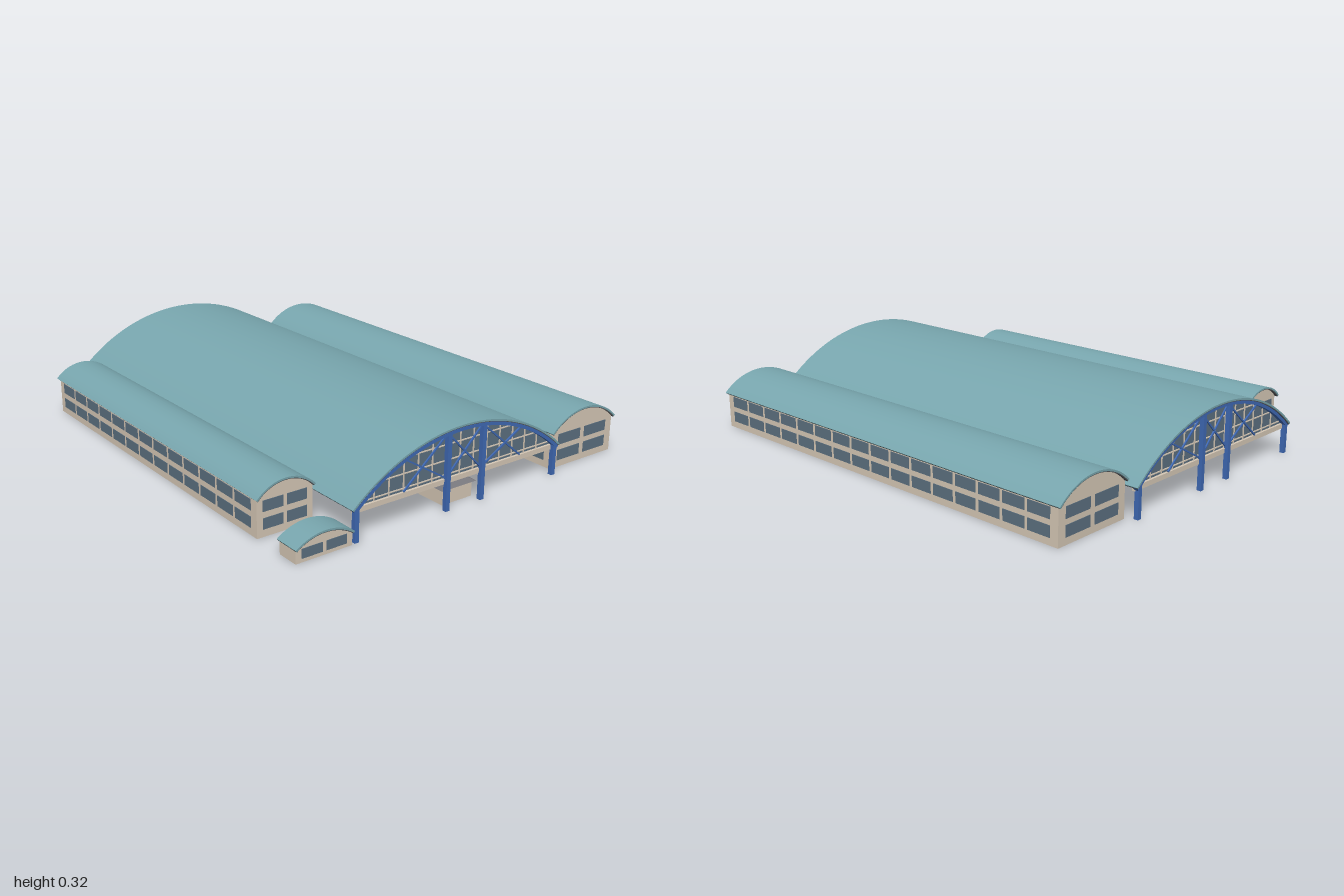
import * as THREE from 'three';
import { toCreasedNormals } from 'three/addons/utils/BufferGeometryUtils.js';

const mat = (color) => new THREE.MeshStandardMaterial({ color, side: THREE.DoubleSide });
const TEAL = mat(0x78a6ae), CREAM = mat(0xd6c8b6), GLASS = mat(0x5c7080),
  BLUE = mat(0x3f69b4), DARK = mat(0x515458), GREY = mat(0x77777c);

function add(parent, name, geometry, material, x = 0, y = 0, z = 0) {
  const mesh = new THREE.Mesh(geometry, material);
  mesh.name = name;
  mesh.position.set(x, y, z);
  parent.add(mesh);
  return mesh;
}

function box(parent, name, material, w, h, d, x, y, z) {
  return add(parent, name, new THREE.BoxGeometry(w, h, d), material, x, y, z);
}

// Circular arc over a chord: centre x, half width, eave height, peak height
function arcOf(cx, half, eave, peak) {
  const rise = peak - eave;
  const r = (half * half + rise * rise) / (2 * rise);
  return { cx, half, r, cy: peak - r, angle: Math.asin(half / r) };
}
const arcTop = (a, x, inset = 0) =>
  a.cy + Math.sqrt(Math.max(0, (a.r - inset) ** 2 - (x - a.cx) ** 2));

// Curved band following the arc, running from z0 to z1
function arcBand(parent, name, material, a, inset, thickness, z0, z1) {
  const shape = new THREE.Shape();
  const s = Math.PI / 2 - a.angle, e = Math.PI / 2 + a.angle;
  shape.absarc(a.cx, a.cy, a.r - inset, s, e, false);
  shape.absarc(a.cx, a.cy, a.r - inset - thickness, e, s, true);
  const g = new THREE.ExtrudeGeometry(shape, { depth: z1 - z0, bevelEnabled: false, curveSegments: 32 });
  return add(parent, name, toCreasedNormals(g, 0.5), material, 0, 0, z0);
}

// Vaulted roof with dark lining
function roof(parent, name, a, z0, z1) {
  arcBand(parent, name, TEAL, a, 0, 0.007, z0, z1);
  arcBand(parent, name + 'Lining', DARK, a, 0.007, 0.003, z0 + 0.002, z1 - 0.002);
}

// Flat panel from y0 up to the arc
function gable(parent, name, material, a, x0, x1, y0, inset, z) {
  const shape = new THREE.Shape();
  shape.moveTo(x0, y0);
  shape.lineTo(x1, y0);
  for (let i = 0; i <= 32; i++) {
    const x = x1 + (x0 - x1) * i / 32;
    shape.lineTo(x, Math.max(y0, arcTop(a, x, inset)));
  }
  const g = new THREE.ExtrudeGeometry(shape, { depth: 0.006, bevelEnabled: false });
  return add(parent, name, g, material, 0, 0, z - 0.003);
}

// Side hall: hollow walls, vaulted roof and rows of windows
function hall(name, o) {
  const group = new THREE.Group();
  group.name = name;
  const a = arcOf((o.rx0 + o.rx1) / 2, (o.rx1 - o.rx0) / 2, o.eave, o.peak);
  roof(group, 'vaultedRoof', a, o.rz0, o.rz1);
  const depth = o.z1 - o.z0, zc = (o.z0 + o.z1) / 2;
  for (const [x, s] of [[o.x0, -1], [o.x1, 1]]) {
    const h = arcTop(a, x, 0.008);
    box(group, 'sideWall', CREAM, 0.006, h, depth, x - s * 0.003, h / 2, zc);
    for (let i = 0; i < o.sideCount; i++) {
      const pitch = (depth - 0.055) / o.sideCount;
      const z = o.z0 + 0.0275 + pitch * (i + 0.5);
      for (const y of o.rows) box(group, 'sideWindow', GLASS, 0.002, o.winH, 0.1, x + s * 0.001, y, z);
    }
  }
  const w = o.x1 - o.x0, cx = (o.x0 + o.x1) / 2;
  for (const [z, s] of [[o.z0, -1], [o.z1, 1]]) {
    gable(group, 'endWall', CREAM, a, o.x0, o.x1, 0, 0.008, z - s * 0.003);
    for (const y of o.rows) for (const k of [-1, 1])
      box(group, 'endWindow', GLASS, w * 0.36, o.winH, 0.002, cx + k * w * 0.215, y, z + s * 0.001);
  }
  return group;
}

// Slim bar between two points in a plane of constant z
function bar(parent, name, material, x0, y0, x1, y1, z, t) {
  const m = box(parent, name, material, Math.hypot(x1 - x0, y1 - y0), t, t, (x0 + x1) / 2, (y0 + y1) / 2, z);
  m.rotation.z = Math.atan2(y1 - y0, x1 - x0);
}

// Glazed end of the main hall with trusses and columns
function glazedEnd(name, a, z, s) {
  const group = new THREE.Group();
  group.name = name;
  const x0 = -0.55, x1 = 0.43, y0 = 0.115;
  gable(group, 'gableGlass', GLASS, a, x0, x1, y0, 0.012, z - s * 0.018);
  box(group, 'lintel', CREAM, x1 - x0, 0.02, 0.014, a.cx, 0.113, z - s * 0.012);
  for (let i = -6; i <= 6; i++) {
    const x = a.cx + i * 0.066;
    bar(group, 'mullion', CREAM, x, y0, x, arcTop(a, x, 0.02), z - s * 0.013, 0.004);
  }
  for (const y of [0.135, 0.19, 0.25]) {
    const half = Math.sqrt((a.r - 0.02) ** 2 - (y - a.cy) ** 2);
    bar(group, 'transom', CREAM, a.cx - half, y, a.cx + half, y, z - s * 0.013, 0.004);
  }
  arcBand(group, 'archRib', BLUE, a, 0.01, 0.013, z - 0.009, z + 0.009);
  // Crossed braces
  for (const [l, r] of [[-0.33, -0.13], [-0.13, 0.04], [0.04, 0.24]]) {
    bar(group, 'brace', BLUE, l, 0.125, r, arcTop(a, r, 0.02), z - s * 0.006, 0.006);
    bar(group, 'brace', BLUE, l, arcTop(a, l, 0.02), r, 0.125, z - s * 0.006, 0.006);
  }
  for (const x of [-0.545, -0.13, 0.04, 0.42]) {
    const h = arcTop(a, x, 0.012);
    box(group, 'endColumn', BLUE, 0.018, h, 0.018, x, h / 2, z);
  }
  return group;
}

// Small open-bottomed kiosk with a hipped roof
function kiosk(x, z) {
  const group = new THREE.Group();
  group.name = 'kiosk';
  const w = 0.145, d = 0.16, h = 0.062;
  for (const s of [-1, 1]) {
    box(group, 'kioskSideWall', CREAM, 0.005, h, d, s * (w / 2 - 0.0025), h / 2, 0);
    box(group, 'kioskEndWall', CREAM, w, h, 0.005, 0, h / 2, s * (d / 2 - 0.0025));
  }
  const g = new THREE.ConeGeometry(Math.SQRT1_2, 0.043, 4, 1, true).rotateY(Math.PI / 4);
  g.scale(w + 0.025, 1, d + 0.025);
  add(group, 'kioskRoof', g.toNonIndexed(), GREY, 0, h + 0.0215, 0).geometry.computeVertexNormals();
  group.position.set(x, 0, z);
  return group;
}

export function createModel() {
  const model = new THREE.Group();
  model.name = 'marketHall';

  // Main vault
  const main = arcOf(-0.06, 0.505, 0.125, 0.32);
  roof(model, 'mainRoof', main, -1, 0.99);
  model.add(glazedEnd('frontEnd', main, 0.98, 1), glazedEnd('backEnd', main, -0.985, -1));

  // Inner columns with blue bases
  for (const x of [-0.335, 0.215]) for (let i = -2; i <= 2; i++) {
    const z = i * 0.17, h = arcTop(main, x, 0.009);
    box(model, 'innerColumn', CREAM, 0.014, h - 0.04, 0.014, x, (h + 0.04) / 2, z);
    box(model, 'columnBase', BLUE, 0.018, 0.045, 0.018, x, 0.0225, z);
  }

  // Side halls and the front shed
  model.add(
    hall('leftSideHall', {
      rx0: 0.445, rx1: 0.807, rz0: -0.965, rz1: 0.955, eave: 0.15, peak: 0.225,
      x0: 0.45, x1: 0.797, z0: -0.95, z1: 0.945, rows: [0.05, 0.116], winH: 0.044, sideCount: 16,
    }),
    hall('rightSideHall', {
      rx0: -0.81, rx1: -0.562, rz0: -0.8, rz1: 0.78, eave: 0.15, peak: 0.205,
      x0: -0.8, x1: -0.566, z0: -0.785, z1: 0.765, rows: [0.05, 0.116], winH: 0.042, sideCount: 13,
    }),
    hall('frontShed', {
      rx0: -0.806, rx1: -0.562, rz0: 0.892, rz1: 1, eave: 0.055, peak: 0.095,
      x0: -0.8, x1: -0.566, z0: 0.9, z1: 0.99, rows: [0.032], winH: 0.036, sideCount: 0,
    }),
    kiosk(-0.04, 0.86), kiosk(-0.1, -0.56),
  );
  return model;
}
